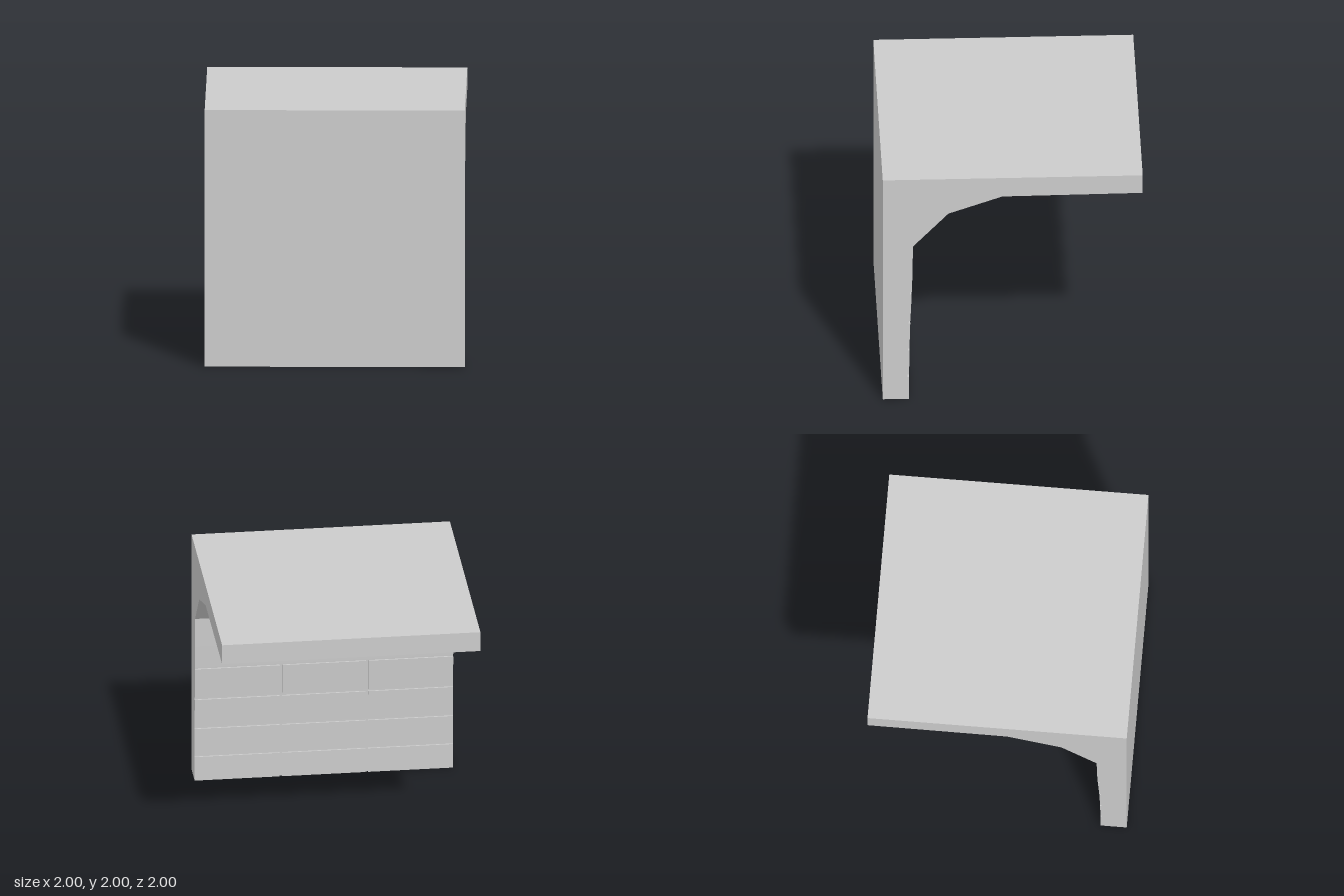
import * as THREE from 'three';

const material = new THREE.MeshStandardMaterial({ color: 0xcccccc, flatShading: true });

// Inner wall surface as [y, z], leaning slightly towards the back
const WALL = [[0, 0.797], [0.21, 0.797], [0.45, 0.795], [0.7, 0.788], [0.96, 0.777], [1.15, 0.771], [1.39, 0.768]];
const GROOVES_Y = [0.21, 0.45, 0.7, 0.965];
const GROOVES_X = [-0.333, 0.333];
const HALF = 0.01;   // half the groove width
const DEPTH = 0.012; // groove depth

function wallZ(y) {
  const i = Math.max(1, WALL.findIndex((p) => p[0] >= y));
  const [y0, z0] = WALL[i - 1], [y1, z1] = WALL[i];
  return z0 + ((z1 - z0) * (y - y0)) / (y1 - y0);
}

// Extrude a side profile of [z, y] points from x0 to x1
function slab(name, profile, x0, x1) {
  const shape = new THREE.Shape(profile.map(([z, y]) => new THREE.Vector2(-z, y)));
  const geometry = new THREE.ExtrudeGeometry(shape, { depth: x1 - x0, bevelEnabled: false });
  geometry.rotateY(Math.PI / 2).translate(x0, 0, 0);
  const mesh = new THREE.Mesh(geometry, material);
  mesh.name = name;
  return mesh;
}

export function createModel() {
  const group = new THREE.Group();
  group.name = 'vaultedWallSection';

  // Wall, faceted cove and ceiling in one profile; the lower wall is recessed to groove depth
  const top = GROOVES_Y[3] + HALF;
  const recess = [0, ...GROOVES_Y, top].map((y) => [wallZ(y) + DEPTH, y]);
  group.add(slab('wallAndCeiling', [
    [1, 0], ...recess,
    [wallZ(top), top], [0.771, 1.15], [0.768, 1.39],
    [0.495, 1.685], [0.08, 1.832], [-1, 1.84], [-1, 2], [1, 2],
  ], -1, 1));

  // Raised panels, four rows by three columns, leaving the grooves between
  const panels = new THREE.Group();
  panels.name = 'wallPanels';
  const columns = [-1 - HALF, ...GROOVES_X, 1 + HALF];
  const rows = [-HALF, ...GROOVES_Y];
  for (let r = 0; r < 4; r++) {
    const y0 = rows[r] + HALF, y1 = rows[r + 1] - HALF;
    const profile = [
      [wallZ(y0) + DEPTH, y0], [wallZ(y0), y0],
      [wallZ(y1), y1], [wallZ(y1) + DEPTH, y1],
    ];
    for (let c = 0; c < 3; c++) {
      panels.add(slab('wallPanel', profile, columns[c] + HALF, columns[c + 1] - HALF));
    }
  }
  group.add(panels);
  return group;
}
